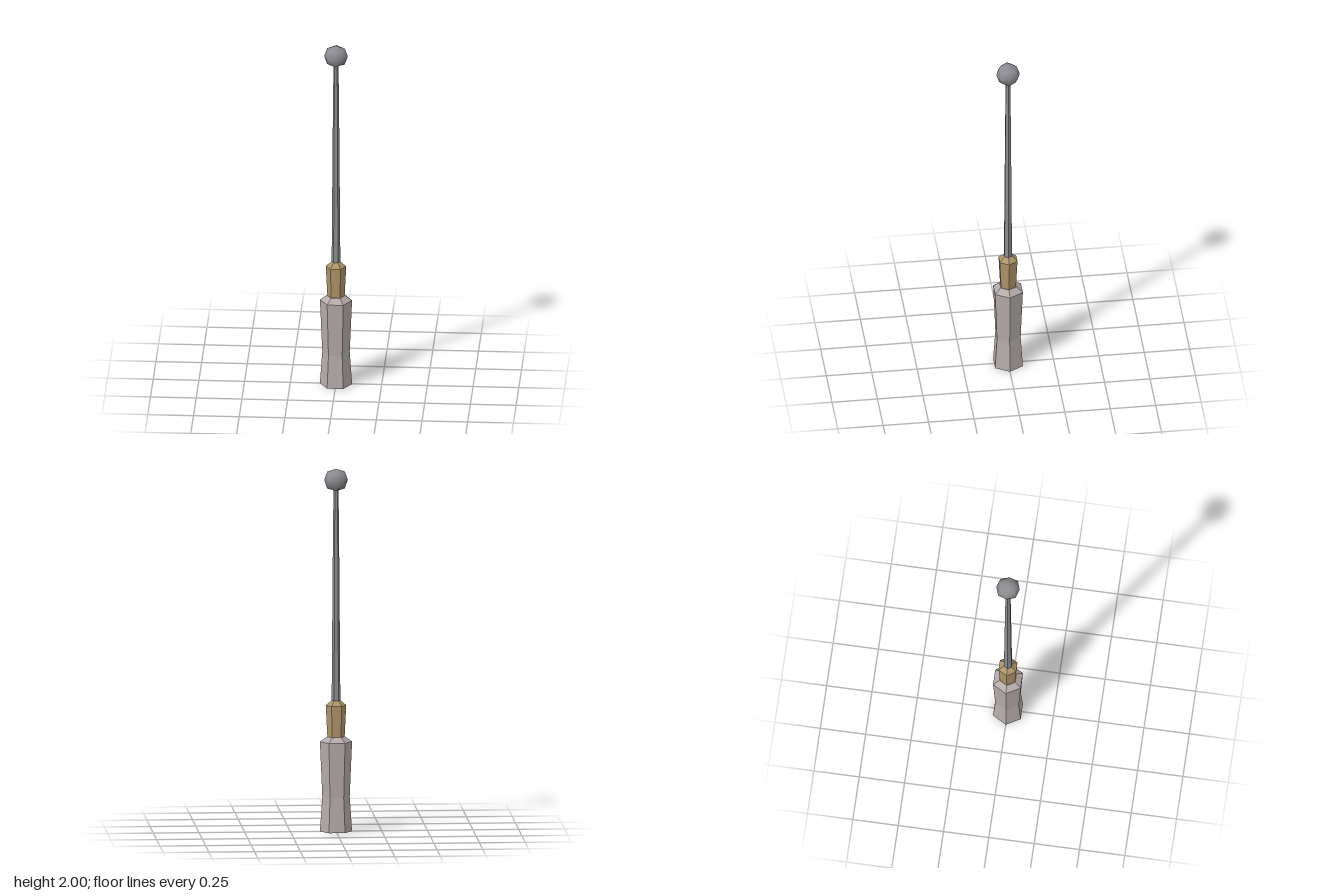
import * as THREE from 'three';
import { mergeVertices } from 'three/addons/utils/BufferGeometryUtils.js';

// Six-sided turned part with corners on +x and -x; profile is [radius, height] from bottom to top
function hexTurned(name, profile, color) {
  const points = profile.map(([r, y]) => new THREE.Vector2(r, y));
  const geometry = new THREE.LatheGeometry(points, 6, Math.PI / 6);
  const mesh = new THREE.Mesh(geometry, new THREE.MeshStandardMaterial({ color, flatShading: true }));
  mesh.name = name;
  return mesh;
}

// Rounded cube knob: each side of a cube split in four, its edges and corners pulled in
function roundedCube(name, rx, ry, color) {
  let geometry = new THREE.BoxGeometry(2, 2, 2, 2, 2, 2);
  const pos = geometry.attributes.position;
  const pull = [1, 1, 0.75, 0.556]; // by kind: side centre, edge middle, corner
  const v = new THREE.Vector3();
  for (let i = 0; i < pos.count; i++) {
    v.fromBufferAttribute(pos, i);
    const kind = v.toArray().filter((c) => Math.abs(c) > 0.5).length;
    v.multiplyScalar(pull[kind]);
    pos.setXYZ(i, v.x * rx, v.y * ry, v.z * rx);
  }
  geometry.deleteAttribute('uv');
  geometry.deleteAttribute('normal');
  geometry = mergeVertices(geometry);
  geometry.computeVertexNormals();
  const mesh = new THREE.Mesh(geometry, new THREE.MeshStandardMaterial({ color }));
  mesh.name = name;
  return mesh;
}

export function createModel() {
  const model = new THREE.Group();
  model.name = 'ballTippedWand';

  // Waisted grip with a bevelled shoulder
  model.add(hexTurned('grip', [
    [0, 0], [0.088, 0], [0.075, 0.19], [0.088, 0.495], [0.05, 0.522], [0, 0.522],
  ], 0xb5abaa));

  // Brass collar, flaring upwards
  model.add(hexTurned('collar', [
    [0.047, 0.515], [0.056, 0.695], [0.025, 0.722], [0, 0.722],
  ], 0xb0966a));

  // Tapering shaft
  model.add(hexTurned('shaft', [
    [0.024, 0.715], [0.0175, 1.55], [0.0135, 1.92],
  ], 0x8c8e92));

  // Ball at the tip
  const ball = roundedCube('ballTip', 0.0645, 0.062, 0x8c8e92);
  ball.position.y = 1.938;
  model.add(ball);

  return model;
}
